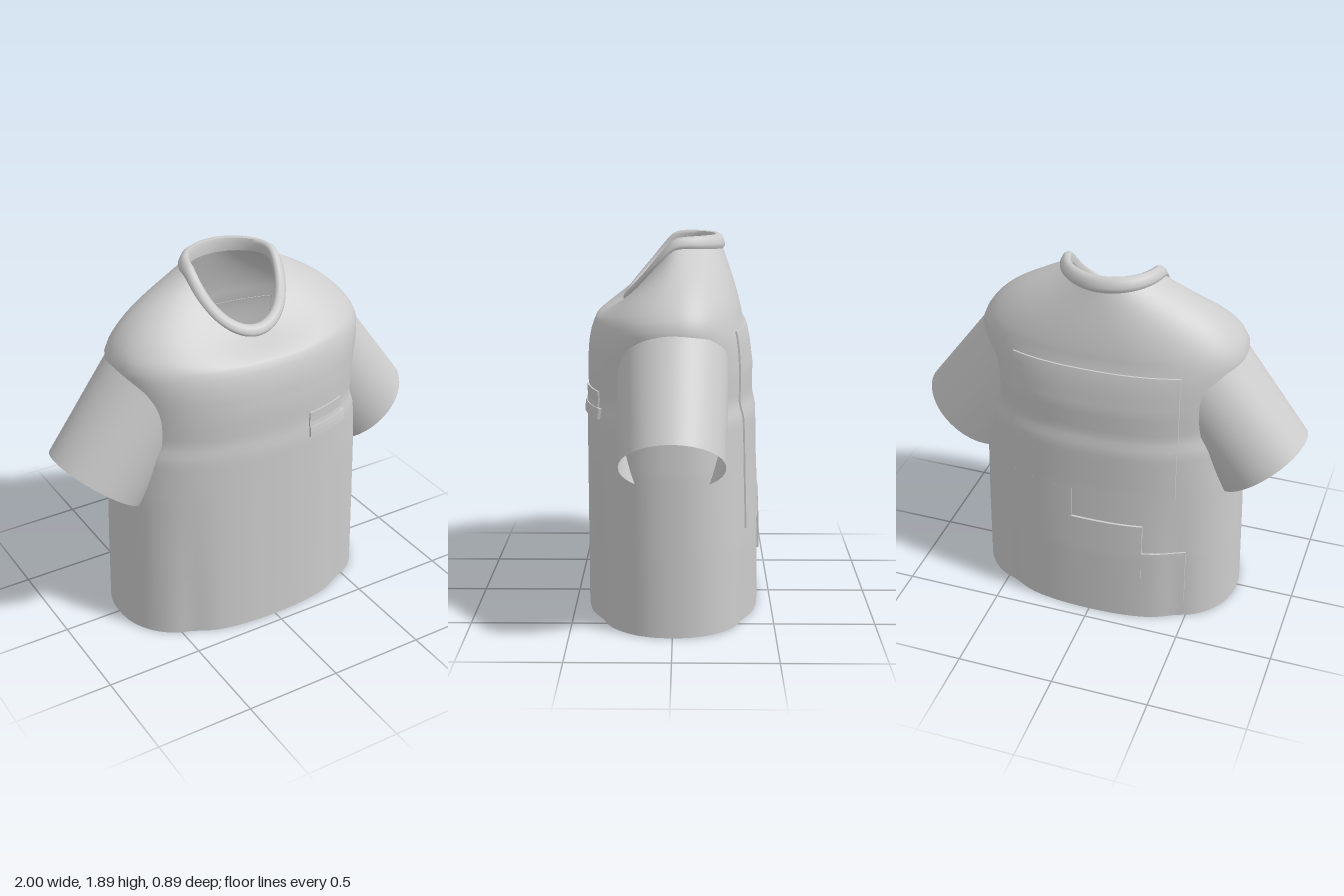
import * as THREE from 'three';
import { toCreasedNormals } from 'three/addons/utils/BufferGeometryUtils.js';

const N = 2.3; // roundness of the torso cross-section
const SHOULDER = 1.48;
// height, half width, front depth, back depth
const PROFILE = [
  [0, 0.697, 0.44, 0.435], [0.4, 0.69, 0.44, 0.43], [0.8, 0.68, 0.44, 0.412],
  [1.02, 0.665, 0.44, 0.407], [1.05, 0.658, 0.438, 0.402], [1.1, 0.642, 0.432, 0.39],
  [1.25, 0.65, 0.435, 0.39], [1.36, 0.665, 0.427, 0.376], [1.43, 0.674, 0.413, 0.362],
  [SHOULDER, 0.675, 0.392, 0.345],
];

function section(y) {
  const h = THREE.MathUtils.clamp(y, 0, SHOULDER);
  let i = 0;
  while (i < PROFILE.length - 2 && h > PROFILE[i + 1][0]) i++;
  const a = PROFILE[i], b = PROFILE[i + 1];
  return a.map((v, k) => v + (b[k] - v) * (h - a[0]) / (b[0] - a[0]));
}

// Depth of the torso surface at x, y; side is +1 for front, -1 for back
function depth(x, y, side) {
  const [, w, f, b] = section(y);
  const q = Math.min(1, Math.abs(x) / w);
  const fold = 0.05 * Math.max(0, 0.9 - y) * Math.exp(-(((Math.abs(x) - 0.45) / 0.07) ** 2));
  return side * (side > 0 ? f : b) * Math.pow(1 - Math.pow(q, N), 1 / N) * (1 - fold);
}

function torsoPoint(angle, y) {
  const c = Math.cos(angle), s = Math.sin(angle);
  const x = section(y)[1] * Math.sign(c) * Math.pow(Math.abs(c), 2 / N);
  return new THREE.Vector3(x, y, depth(x, y, s >= 0 ? 1 : -1));
}

// Neckline: level round the back, dropping towards the front
function neckPoint(angle, r, lift) {
  const s = Math.sin(angle);
  const drop = (s + Math.sqrt(s * s + 0.02)) / 2;
  const back = Math.max(0, -s);
  return new THREE.Vector3(r * 1.03 * Math.cos(angle), 1.842 - 0.283 * drop - 0.015 * back + lift * (1 + 0.3 * back), r * s);
}

// Smooth surface through a grid of points
function surface(nu, nv, fn, crease = 0.7) {
  const pos = [], idx = [];
  for (let j = 0; j <= nv; j++) for (let i = 0; i <= nu; i++) pos.push(...fn(i, j).toArray());
  for (let j = 0; j < nv; j++) for (let i = 0; i < nu; i++) {
    const a = j * (nu + 1) + i, b = a + nu + 1;
    idx.push(a, b, a + 1, b, b + 1, a + 1);
  }
  const g = new THREE.BufferGeometry();
  g.setAttribute('position', new THREE.Float32BufferAttribute(pos, 3));
  g.setIndex(idx);
  return toCreasedNormals(g, crease);
}

export function createModel() {
  const root = new THREE.Group();
  root.name = 'shirt';
  const cloth = new THREE.MeshStandardMaterial({ color: 0xcccccc, side: THREE.DoubleSide });
  cloth.name = 'grey cloth';
  const add = (name, geometry) => {
    const m = new THREE.Mesh(geometry, cloth);
    m.name = name;
    root.add(m);
    return m;
  };
  const SEG = 120;
  const turn = i => (i % SEG) / SEG * Math.PI * 2;

  // Torso tube from hem to shoulder line, then the yoke closing in to the neckline
  const LOW = 48, YOKE = 20;
  add('torso', surface(SEG, LOW + YOKE, (i, j) => {
    const a = turn(i);
    if (j <= LOW) return torsoPoint(a, SHOULDER * j / LOW);
    const t = (j - LOW) / YOKE, s = Math.sin(a);
    const p = torsoPoint(a, SHOULDER).lerp(neckPoint(a, 0.242, 0), t);
    const bulge = 0.065 * (1 - s * s) + (s < 0 ? 0.03 : 0.008) * s * s;
    p.y += bulge * Math.sin(Math.PI * Math.pow(t, 0.6));
    return p;
  }));

  // Turned-up hem on the inside
  add('innerHem', surface(SEG, 2, (i, j) => {
    const p = torsoPoint(turn(i), j === 2 ? 0 : 0.12 * (1 - j));
    const k = j === 2 ? 1 : 0.985;
    p.x *= k;
    p.z *= k;
    return p;
  }));

  // Ribbed collar band: [radius, lift] round its cross-section
  const band = [[0.238, -0.02], [0.256, 0], [0.256, 0.012], [0.244, 0.036], [0.226, 0.047], [0.21, 0.044], [0.204, 0.03], [0.206, -0.01]];
  add('collar', surface(SEG, band.length - 1, (i, j) => neckPoint(turn(i), band[j][0], band[j][1]), 1));

  // Sleeves: elliptical tubes cut where they meet the torso
  const cuff = new THREE.Vector3(0.79, 0.867, 0);
  const across = new THREE.Vector3(0.79, 0.61, 0), axis = new THREE.Vector3(-0.6, 0.8, 0);
  const tube = (a, s) => {
    const p = cuff.clone().addScaledVector(across, 0.267 * Math.cos(a)).addScaledVector(axis, s);
    p.z = (0.25 + 0.035 * s) * Math.sin(a);
    return p;
  };
  const inside = p => Math.abs(p.x) < section(p.y)[1] && Math.abs(p.z) < Math.abs(depth(p.x, p.y, p.z >= 0 ? 1 : -1));
  const reach = a => {
    let s = 0;
    while (s < 0.56 && !inside(tube(a, s))) s += 0.002;
    return s;
  };
  const reaches = Array.from({ length: SEG + 1 }, (_, i) => reach(turn(i)));
  const sleeve = surface(SEG, 12, (i, j) => tube(turn(i), reaches[i] * j / 12));
  add('leftSleeve', sleeve);
  add('rightSleeve', sleeve).scale.x = -1;

  // Raised patches that follow the torso surface, with short side walls
  const patch = (name, x0, x1, y0, y1, side, thick) => {
    const nu = 26, nv = 26;
    const f = (k, n) => THREE.MathUtils.clamp((k - 1) / (n - 2), 0, 1);
    add(name, surface(nu, nv, (i, j) => {
      const x = x0 + (x1 - x0) * f(i, nu), y = y0 + (y1 - y0) * f(j, nv);
      const rim = i === 0 || j === 0 || i === nu || j === nv;
      return new THREE.Vector3(x, y, depth(x, y, side) + side * (rim ? -0.004 : thick));
    }));
  };
  patch('backPanel', -0.43, 0.42, 0.77, 1.45, -1, 0.009);
  patch('backPatchUpper', 0.09, 0.42, 0.47, 0.77, -1, 0.009);
  patch('backPatchMiddle', -0.28, 0.1, 0.27, 0.6, -1, 0.012);
  patch('backPatchLower', -0.49, -0.2, 0.1, 0.43, -1, 0.009);
  patch('chestTagUpper', 0.19, 0.415, 1.075, 1.155, 1, 0.009);
  patch('chestTagLower', 0.19, 0.445, 1.022, 1.075, 1, 0.014);

  return root;
}
